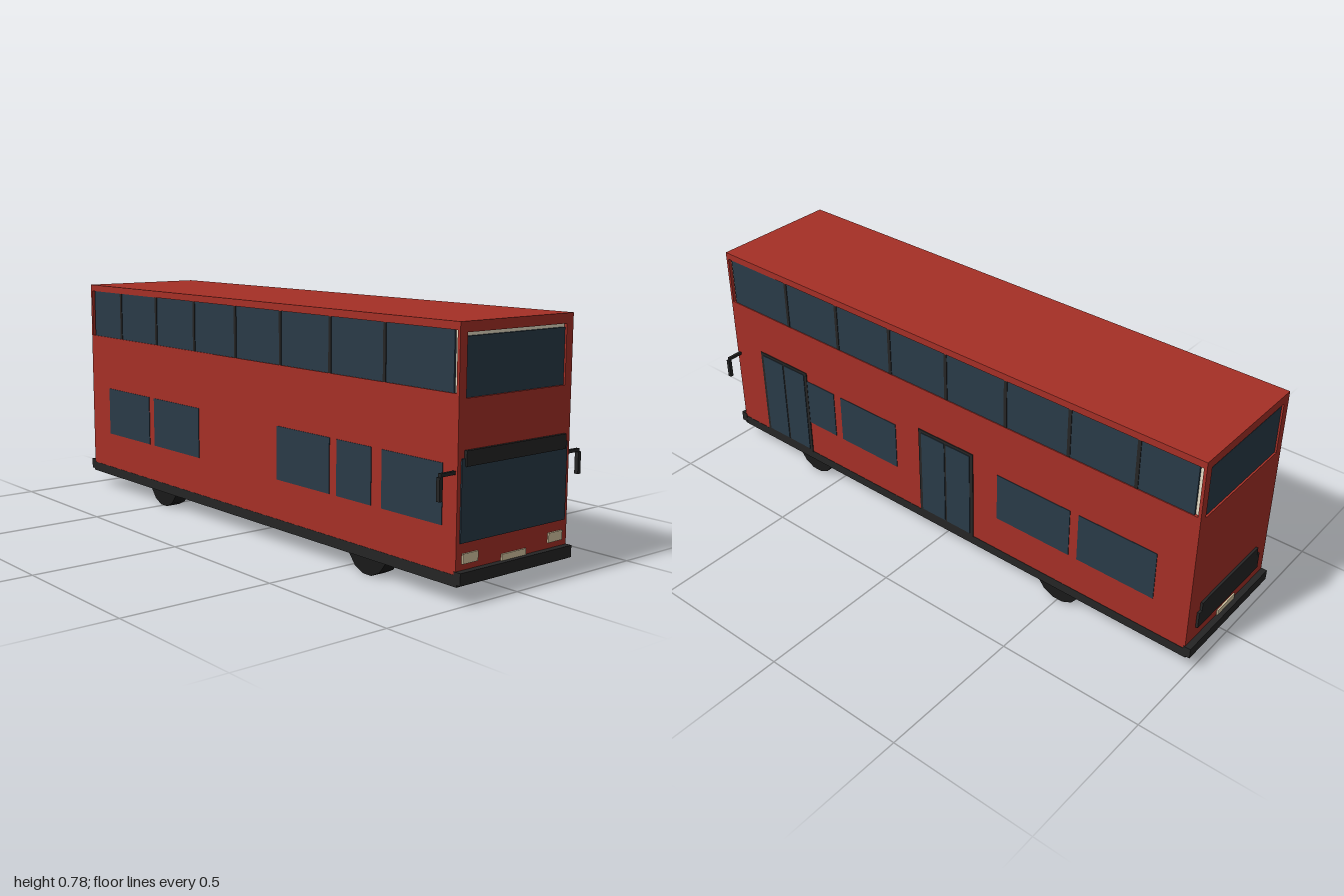
import * as THREE from 'three';

const mat = (name, color, side = THREE.FrontSide) => {
  const m = new THREE.MeshStandardMaterial({ color, side });
  m.name = name;
  return m;
};

export function createModel() {
  const red = mat('red paint', 0xa52f26);
  const glass = mat('tinted glass', 0x293a47);
  const trim = mat('dark trim', 0x252525);
  const rubber = mat('tyre rubber', 0x191919);
  const lamp = mat('lamp cream', 0xd8c9a3);
  const inside = mat('bright interior', 0xfff5dc);

  const bus = new THREE.Group();
  bus.name = 'doubleDeckerBus';

  // box given by its lower and upper corner
  const box = (name, m, x0, x1, y0, y1, z0, z1, parent = bus) => {
    const mesh = new THREE.Mesh(new THREE.BoxGeometry(x1 - x0, y1 - y0, z1 - z0), m);
    mesh.position.set((x0 + x1) / 2, (y0 + y1) / 2, (z0 + z1) / 2);
    mesh.name = name;
    parent.add(mesh);
    return mesh;
  };
  // plate on a side wall; s = +1 left, -1 right
  const sidePlate = (name, m, s, y0, y1, z0, z1, inner, outer) =>
    box(name, m, Math.min(s * inner, s * outer), Math.max(s * inner, s * outer), y0, y1, z0, z1);
  // plate on an end wall; e = +1 front, -1 back
  const endPlate = (name, m, e, x0, x1, y0, y1, inner, outer) =>
    box(name, m, x0, x1, y0, y1, Math.min(e * inner, e * outer), Math.max(e * inner, e * outer));

  // main shell
  box('lowerBody', red, -0.23, 0.23, 0.08, 0.587, -0.97, 0.97);
  box('upperInterior', inside, -0.221, 0.221, 0.58, 0.76, -0.966, 0.966);
  box('roof', red, -0.23, 0.23, 0.757, 0.78, -0.97, 0.97);
  box('skirt', trim, -0.231, 0.231, 0.055, 0.088, -0.985, 0.985);

  // end walls with a cut-out for the upper window
  const wall = new THREE.Shape();
  wall.moveTo(-0.23, 0.08).lineTo(0.23, 0.08).lineTo(0.23, 0.78).lineTo(-0.23, 0.78).closePath();
  const hole = new THREE.Path();
  hole.moveTo(-0.202, 0.573).lineTo(-0.202, 0.75).lineTo(0.202, 0.75).lineTo(0.202, 0.573).closePath();
  wall.holes.push(hole);
  const wallGeo = new THREE.ExtrudeGeometry(wall, { depth: 0.01, bevelEnabled: false });

  for (const e of [1, -1]) {
    const end = e > 0 ? 'front' : 'back';
    const mesh = new THREE.Mesh(wallGeo, red);
    mesh.name = end + 'Wall';
    mesh.position.z = e > 0 ? 0.97 : -0.98;
    bus.add(mesh);
    endPlate(end + 'UpperWindow', glass, e, -0.202, 0.202, 0.573, 0.739, 0.966, 0.974);
    endPlate(end + 'Bumper', trim, e, -0.232, 0.232, 0.062, 0.098, 0.975, 1);
    endPlate(end + 'Plate', lamp, e, -0.05, 0.05, 0.097, 0.117, 0.978, 0.985);
  }

  // front face
  endPlate('windscreen', glass, 1, -0.217, 0.217, 0.175, 0.41, 0.977, 0.984);
  endPlate('destinationBoard', trim, 1, -0.205, 0.205, 0.388, 0.432, 0.977, 0.99);
  // back face
  endPlate('engineGrille', trim, -1, -0.18, 0.18, 0.14, 0.2, 0.977, 0.988);
  endPlate('grilleTop', trim, -1, -0.165, 0.165, 0.2, 0.23, 0.977, 0.988);

  // lower deck windows as [z0, z1]
  const common = [[-0.855, -0.572], [-0.54, -0.253], [0.187, 0.447], [0.48, 0.635]];
  for (const s of [1, -1]) {
    const side = s > 0 ? 'left' : 'right';
    const windows = s > 0 ? common : [...common, [0.68, 0.925]];
    for (const [z0, z1] of windows)
      sidePlate(side + 'LowerWindow', glass, s, 0.218, 0.392, z0, z1, 0.227, 0.232);

    // upper deck glazing and pillars
    sidePlate(side + 'UpperGlass', glass, s, 0.587, 0.757, -0.957, 0.957, 0.22, 0.227);
    for (let i = 0; i < 7; i++) {
      const z = -0.762 + i * 0.241;
      sidePlate(side + 'Pillar', trim, s, 0.587, 0.757, z - 0.006, z + 0.006, 0.222, 0.229);
    }

    // headlights
    const x = s * 0.177;
    endPlate(side + 'Headlight', lamp, 1, x - 0.03, x + 0.03, 0.116, 0.145, 0.978, 0.985);

    // mirror arm and mirror
    sidePlate(side + 'MirrorArm', trim, s, 0.367, 0.377, 0.963, 0.973, 0.225, 0.286);
    sidePlate(side + 'Mirror', trim, s, 0.3, 0.367, 0.962, 0.975, 0.28, 0.292);

    // wheels
    for (const z of [0.61, -0.5]) {
      const wheel = new THREE.Mesh(new THREE.CylinderGeometry(0.087, 0.087, 0.055, 14), rubber);
      wheel.rotation.z = Math.PI / 2;
      wheel.position.set(s * 0.194, 0.087, z);
      wheel.name = side + (z > 0 ? 'FrontWheel' : 'BackWheel');
      bus.add(wheel);
    }
  }

  // two double doors on the left side
  for (const z of [0.729, -0.036]) {
    box('doorFrame', trim, 0.225, 0.233, 0.085, 0.425, z - 0.117, z + 0.117);
    for (const d of [-1, 1])
      box('doorGlass', glass, 0.229, 0.235, 0.097, 0.414, z + d * 0.054 - 0.05, z + d * 0.054 + 0.05);
  }

  return bus;
}
